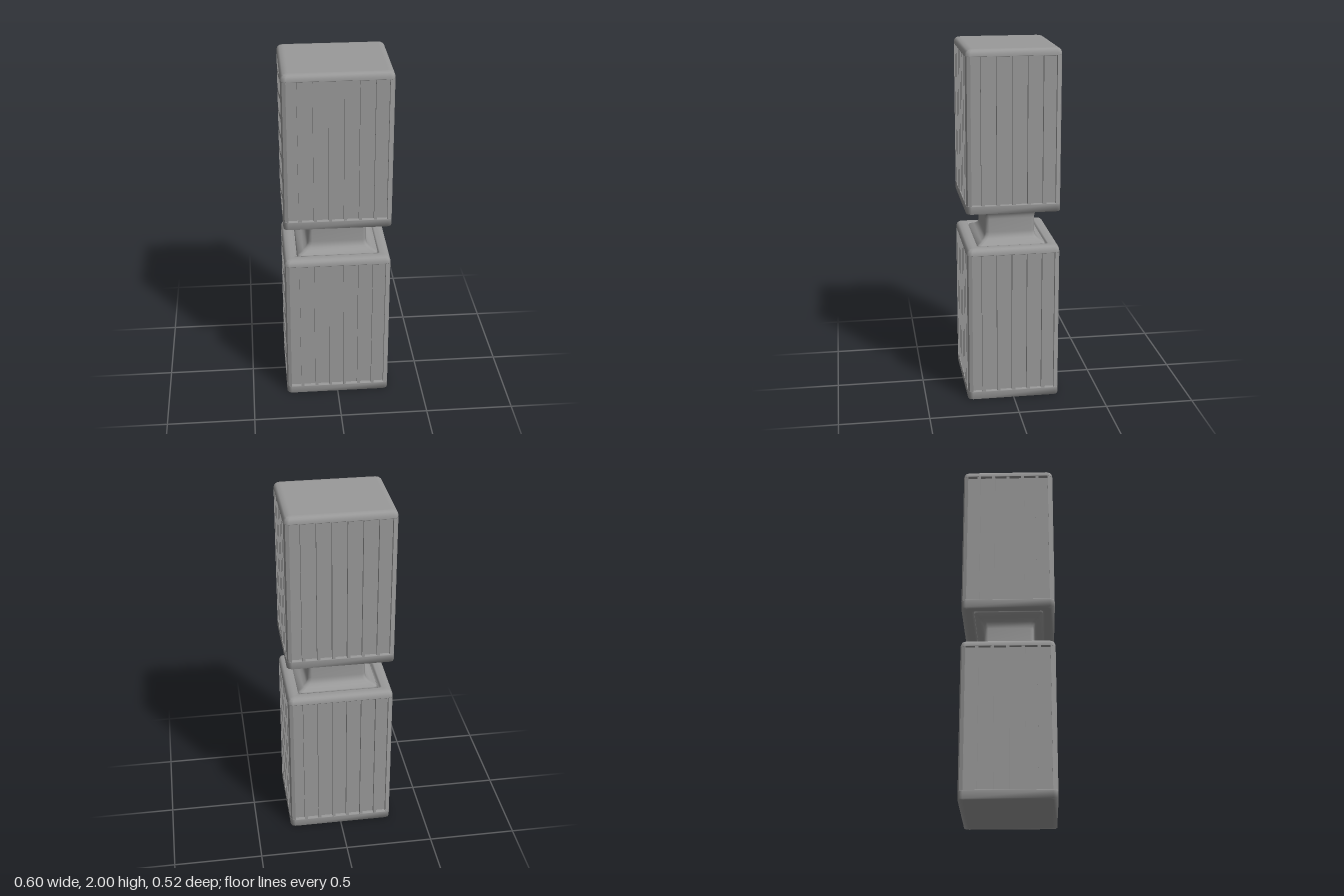
import * as THREE from 'three';

const HX = 0.3, HZ = 0.261, R = 0.027;
const material = new THREE.MeshStandardMaterial({ color: 0x999999 });

// Rounded rectangle outline in x/z, three points per corner
function ring(hx, hz, r) {
  const pts = [];
  for (let q = 0; q < 4; q++) {
    const sx = q === 0 || q === 3 ? 1 : -1, sz = q < 2 ? 1 : -1;
    for (let s = 0; s <= 2; s++) {
      const a = (q + s / 2) * Math.PI / 2;
      pts.push([sx * (hx - r) + r * Math.cos(a), sz * (hz - r) + r * Math.sin(a)]);
    }
  }
  return pts;
}

// Smooth skin through sections [y, halfX, halfZ, radius], closed at both ends
function loft(sections) {
  const pos = [], idx = [], n = 12;
  for (const [y, hx, hz, r] of sections)
    for (const [x, z] of ring(hx, hz, r)) pos.push(x, y, z);
  const last = (sections.length - 1) * n, c0 = sections.length * n;
  pos.push(0, sections[0][0], 0, 0, sections[sections.length - 1][0], 0);
  for (let i = 0; i < n; i++) {
    const j = (i + 1) % n;
    for (let k = 0; k < last; k += n)
      idx.push(k + i, k + n + i, k + j, k + j, k + n + i, k + n + j);
    idx.push(c0, i, j, c0 + 1, last + j, last + i);
  }
  const g = new THREE.BufferGeometry();
  g.setAttribute('position', new THREE.Float32BufferAttribute(pos, 3));
  g.setIndex(idx);
  g.computeVertexNormals();
  return g;
}

// Sections from [y, inset] pairs measured from the block's outer faces
const inset = (pairs) => loft(pairs.map(([y, d]) => [y, HX - d, HZ - d, Math.max(R - d * 0.4, 0.012)]));

// Block body: rounded rectangle with vertical grooves on every side
function groovedBody(y0, y1) {
  const pts = [], depth = 0.022;
  for (let side = 0; side < 4; side++) {
    const alongX = side % 2 === 1;
    const D = alongX ? HZ : HX, L = alongX ? HX : HZ;
    const n = alongX ? 7 : 6, pitch = alongX ? 0.083 : 0.085, limit = L - 0.028;
    const c = Math.round(Math.cos(side * Math.PI / 2)), s = Math.round(Math.sin(side * Math.PI / 2));
    const add = (d, u) => pts.push(new THREE.Vector2(d * c - u * s, d * s + u * c));
    for (let i = 0; i < n; i++) {
      const m = (i - (n - 1) / 2) * pitch;
      const u0 = Math.max(m - 0.033, -limit), u1 = Math.min(m + 0.033, limit);
      add(D, u0); add(D - depth, u0); add(D - depth, u1); add(D, u1);
    }
    // rounded corner
    for (let k = 0; k <= 2; k++) {
      const a = k * Math.PI / 4;
      add(D - R + R * Math.cos(a), L - R + R * Math.sin(a));
    }
  }
  const g = new THREE.ExtrudeGeometry(new THREE.Shape(pts), { depth: y1 - y0, bevelEnabled: false });
  return g.rotateX(-Math.PI / 2).translate(0, y0, 0);
}

export function createModel() {
  const model = new THREE.Group();
  const add = (name, geometry, parent) => {
    const mesh = new THREE.Mesh(geometry, material);
    mesh.name = name;
    parent.add(mesh);
  };

  // Two grooved blocks; the faces towards the neck have a shallow socket
  const blocks = [
    { name: 'lowerBlock', y0: 0, y1: 0.9, socketTop: true },
    { name: 'upperBlock', y0: 1.103, y1: 2, socketTop: false },
  ];
  for (const { name, y0, y1, socketTop } of blocks) {
    const block = new THREE.Group();
    block.name = name;
    const a = y0 + 0.045, b = y1 - 0.038;
    add('groovedBody', groovedBody(a, b), block);

    // base band, shaded softly around its square lower edge
    const bottom = [[y0, 0.025], [y0, 0], [a - 0.003, 0], [a, 0], [a, 0.035]];
    if (!socketTop) bottom.unshift([y0 + 0.018, 0.08], [y0 + 0.016, 0.07], [y0 + 0.002, 0.064], [y0, 0.056]);
    add('baseBand', inset(bottom), block);

    // top band with a rounded upper edge
    const top = [[b, 0.035], [b, 0], [b + 0.002, 0], [y1 - 0.025, 0.001], [y1 - 0.012, 0.005],
      [y1 - 0.004, 0.014], [y1, 0.03], [y1, 0.04]];
    if (socketTop) top.push([y1, 0.056], [y1 - 0.002, 0.064], [y1 - 0.016, 0.07], [y1 - 0.018, 0.08]);
    add('topBand', inset(top), block);
    model.add(block);
  }

  // Waisted neck flaring into both sockets
  const neck = [
    [0.875, 0.235, 0.2], [0.9, 0.225, 0.19], [0.913, 0.195, 0.165], [0.925, 0.176, 0.149],
    [0.942, 0.167, 0.142], [0.96, 0.165, 0.14], [1.035, 0.165, 0.14], [1.052, 0.167, 0.142],
    [1.072, 0.176, 0.15], [1.088, 0.197, 0.168], [1.105, 0.226, 0.192], [1.125, 0.235, 0.2],
  ].map(([y, x, z]) => [y, x, z, 0.022]);
  add('neck', loft(neck).translate(0.006, 0, 0.002), model);
  return model;
}
